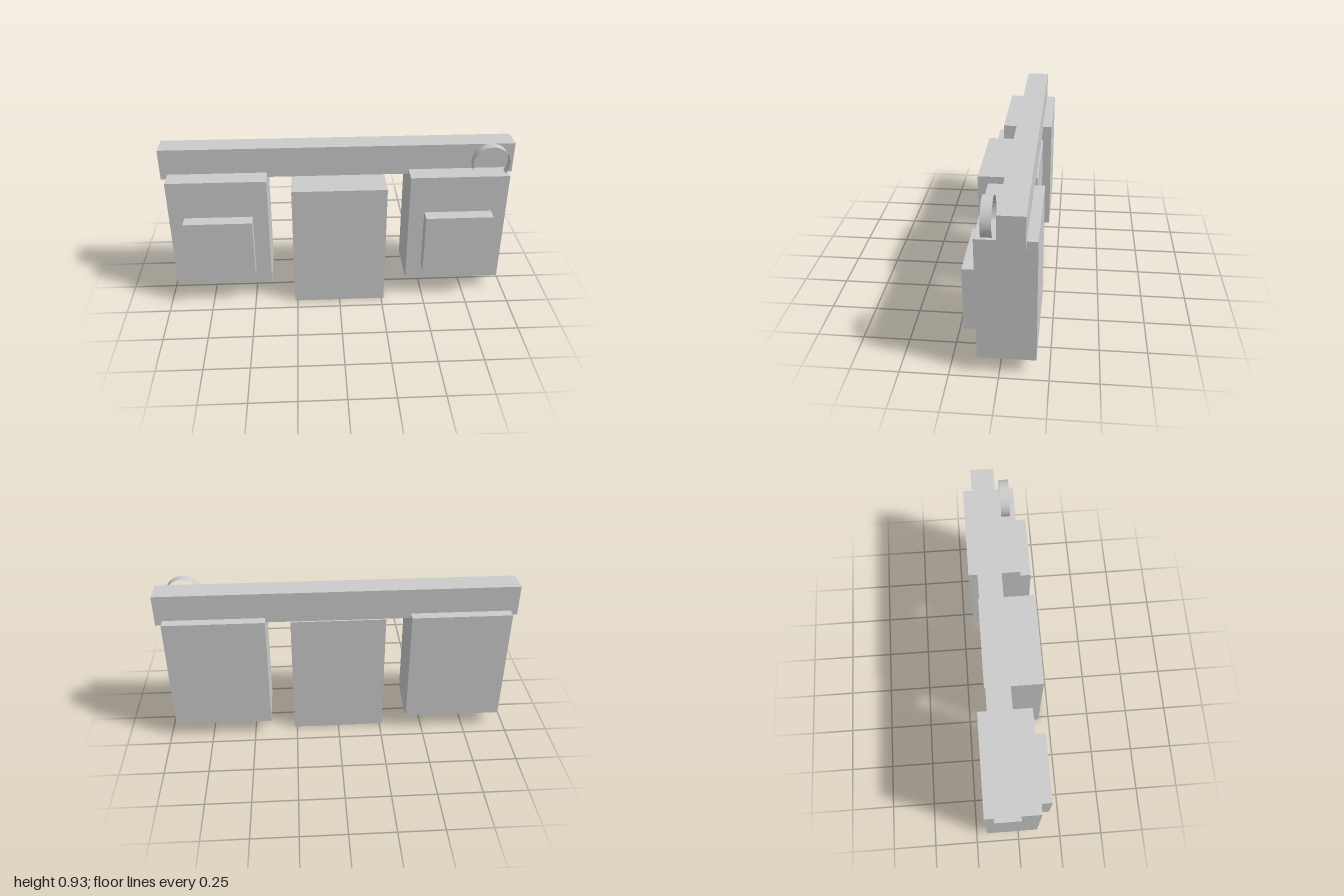
import * as THREE from 'three';

const grey = new THREE.MeshStandardMaterial({ color: 0xcccccc });
const thinGrey = new THREE.MeshStandardMaterial({ color: 0xcccccc, side: THREE.DoubleSide });

// Box given by its extents on each axis
function block(name, [x0, x1], [y0, y1], [z0, z1]) {
  const mesh = new THREE.Mesh(new THREE.BoxGeometry(x1 - x0, y1 - y0, z1 - z0), grey);
  mesh.position.set((x0 + x1) / 2, (y0 + y1) / 2, (z0 + z1) / 2);
  mesh.name = name;
  return mesh;
}

export function createModel() {
  const group = new THREE.Group();
  group.name = 'beltWithPouches';

  // Long strap across the top
  group.add(block('strap', [-1, 1], [0.743, 0.92], [-0.132, 0]));

  // Tall middle pouch
  group.add(block('centrePouch', [-0.265, 0.265], [0, 0.742], [-0.14, 0.185]));

  // Side pouches, each with a front pocket
  for (const [side, s] of [['left', 1], ['right', -1]]) {
    const span = (a, b) => (s > 0 ? [a, b] : [-b, -a]);
    group.add(block(side + 'Pouch', span(0.402, 0.96), [0.09, 0.771], [-0.185, 0.111]));
    group.add(block(side + 'Pocket', span(0.49, 0.875), [0.196, 0.549], [0.1, 0.185]));
  }

  // Thin open ring standing on the left pouch
  const ring = new THREE.Mesh(new THREE.CylinderGeometry(0.104, 0.104, 0.053, 32, 1, true), thinGrey);
  ring.rotation.x = Math.PI / 2;
  ring.position.set(0.856, 0.83, 0.053);
  ring.name = 'ring';
  group.add(ring);

  return group;
}
